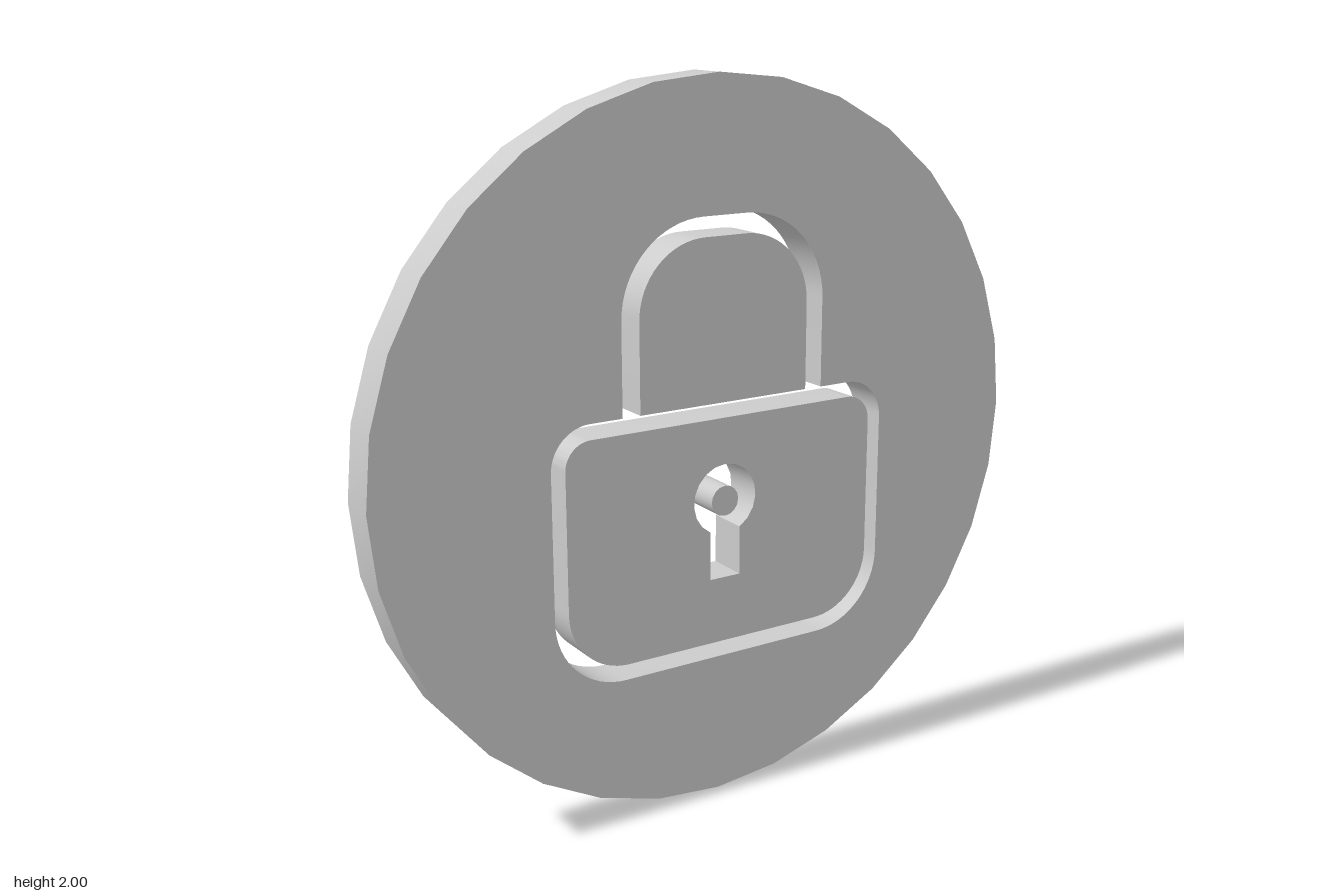
import * as THREE from 'three';
import { toCreasedNormals } from 'three/addons/utils/BufferGeometryUtils.js';

const DEPTH = 0.12;
const CX = 0.021; // centre line of the lock
const material = new THREE.MeshStandardMaterial({ color: 0xcccccc });

// Quarter-round corner, turning counter-clockwise from the given angle
function corner(path, x, y, r, start) {
  path.absarc(x, y, r, start, start + Math.PI / 2, false);
}

// Arch with rounded shoulders, from its right foot to its left foot
function traceArch(path, half, foot, top, r) {
  path.lineTo(CX + half, foot);
  corner(path, CX + half - r, top - r, r, 0);
  corner(path, CX - half + r, top - r, r, Math.PI / 2);
  path.lineTo(CX - half, foot);
}

// Lock body outline; an optional callback adds detail along the top edge
function traceBody(path, half, bottom, top, rTop, rBottom, topDetail) {
  path.moveTo(CX - half + rBottom, bottom);
  corner(path, CX + half - rBottom, bottom + rBottom, rBottom, -Math.PI / 2);
  corner(path, CX + half - rTop, top - rTop, rTop, 0);
  if (topDetail) topDetail(path);
  corner(path, CX - half + rTop, top - rTop, rTop, Math.PI / 2);
  corner(path, CX - half + rBottom, bottom + rBottom, rBottom, Math.PI);
  path.closePath();
  return path;
}

function plate(name, shape) {
  const geometry = new THREE.ExtrudeGeometry(shape, { depth: DEPTH, bevelEnabled: false, curveSegments: 8 });
  geometry.translate(0, 0, -DEPTH / 2);
  const mesh = new THREE.Mesh(toCreasedNormals(geometry, 0.5), material);
  mesh.name = name;
  return mesh;
}

export function createModel() {
  const group = new THREE.Group();
  group.name = 'lockMedallion';

  // 32-sided disc, cut through by the lock outline
  const rim = [];
  for (let i = 0; i < 32; i++) {
    const a = (i / 32) * Math.PI * 2;
    rim.push(new THREE.Vector2(Math.cos(a), 1 + Math.sin(a)));
  }
  const disc = new THREE.Shape(rim);
  disc.holes.push(traceBody(new THREE.Path(), 0.528, 0.405, 1.136, 0.115, 0.21,
    (p) => traceArch(p, 0.317, 1.136, 1.638, 0.25)));
  group.add(plate('disc', disc));

  // Panel inside the shackle
  const arch = new THREE.Shape();
  arch.moveTo(CX - 0.264, 1.136);
  traceArch(arch, 0.264, 1.136, 1.584, 0.2);
  arch.closePath();
  group.add(plate('shacklePanel', arch));

  // Lock body with keyhole
  const body = traceBody(new THREE.Shape(), 0.487, 0.449, 1.093, 0.075, 0.18);
  const keyhole = new THREE.Path();
  const r = 0.1, w = 0.048, ky = 0.863;
  const a = Math.asin(w / r);
  keyhole.moveTo(CX - w, 0.637);
  keyhole.lineTo(CX + w, 0.637);
  keyhole.absarc(CX, ky, r, -Math.PI / 2 + a, Math.PI * 1.5 - a, false);
  keyhole.closePath();
  body.holes.push(keyhole);
  group.add(plate('lockBody', body));

  // Pin in the keyhole
  const pin = new THREE.Shape();
  pin.absarc(CX, 0.858, 0.043, 0, Math.PI * 2, false);
  group.add(plate('keyholePin', pin));

  return group;
}
